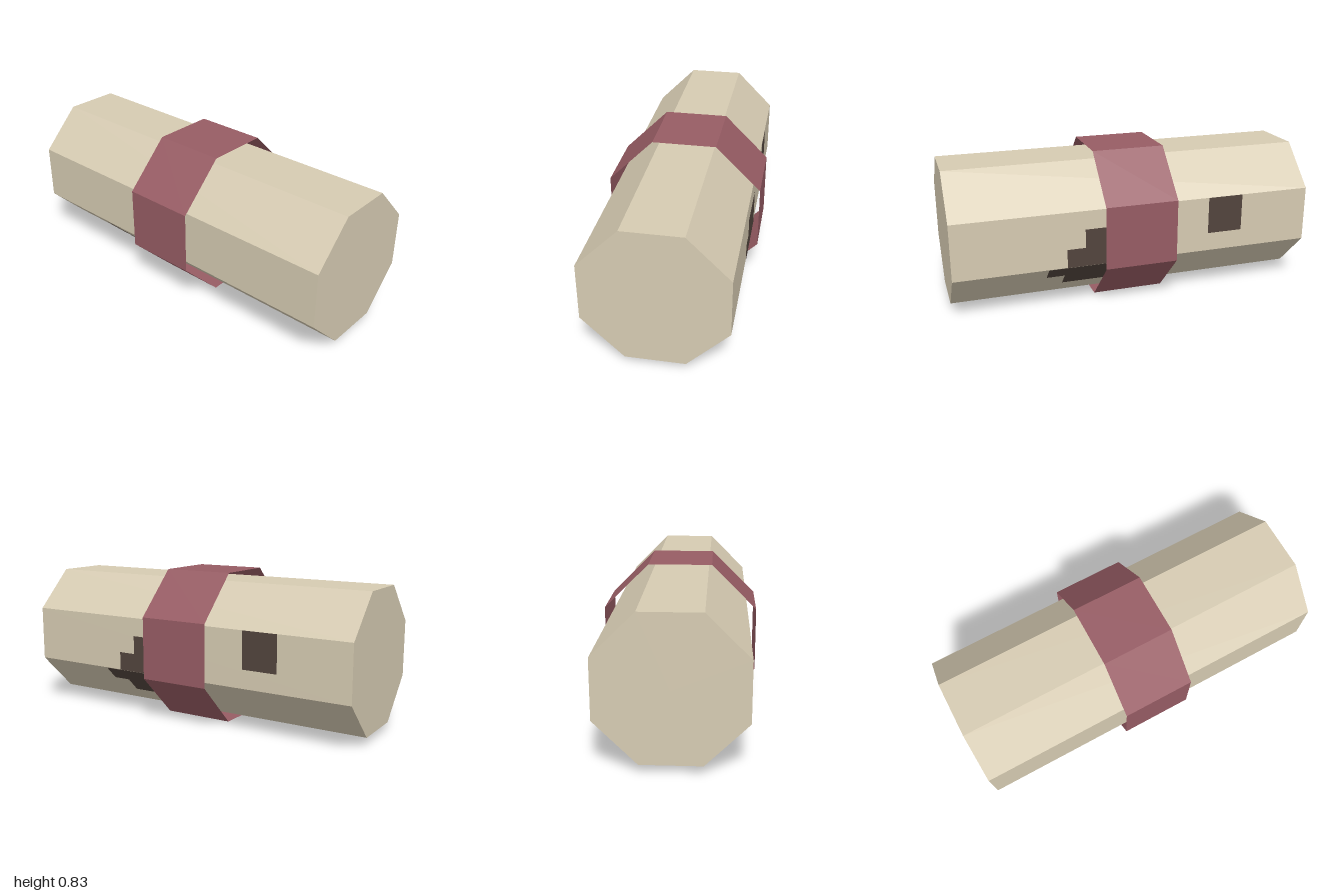
import * as THREE from 'three';

const CENTER_Y = 0.415;
const ROLL = 0.37;   // centre to flat side
const STRAP = 0.415;

// Flat-sided octagonal cylinder lying along x
function octagon(apothem, length, open) {
  const r = apothem / Math.cos(Math.PI / 8);
  const g = new THREE.CylinderGeometry(r, r, length, 8, 1, open, Math.PI / 8)
    .rotateZ(Math.PI / 2).toNonIndexed();
  g.computeVertexNormals();
  return g;
}

function addMesh(parent, name, geometry, material) {
  const mesh = new THREE.Mesh(geometry, material);
  mesh.name = name;
  parent.add(mesh);
}

export function createModel() {
  const cloth = new THREE.MeshStandardMaterial({ name: 'beige cloth', color: 0xd6cbb2 });
  const band = new THREE.MeshStandardMaterial({ name: 'dusty red strap', color: 0x975c64, side: THREE.DoubleSide });
  const stain = new THREE.MeshStandardMaterial({ name: 'dark brown stain', color: 0x52443d });

  const model = new THREE.Group();
  model.name = 'bedroll';
  const body = new THREE.Group();
  body.name = 'rolledBedding';
  body.position.y = CENTER_Y;
  model.add(body);

  // Roll and the loose, open strap around it
  addMesh(body, 'roll', octagon(ROLL, 2, false), cloth);
  addMesh(body, 'strap', octagon(STRAP, 0.4, true), band);

  // Blocky stains: each side has strips [x start, x end, first row, row count]
  const cell = 2 * ROLL * Math.tan(Math.PI / 8) / 3;
  const sides = [
    { name: 'lowerFrontStain', turn: Math.PI / 4, strips: [[-0.6, -0.4, 0, 1], [-0.6, -0.5, 1, 1]] },
    { name: 'backStain', turn: Math.PI, strips: [[-0.6, -0.4, 0, 2], [0, 0.3, 1, 1], [0, 0.4, 2, 1]] },
    { name: 'lowerBackStain', turn: Math.PI * 3 / 4, strips: [[0, 0.5, 0, 1], [0, 0.4, 1, 1]] },
  ];
  for (const { name, turn, strips } of sides) {
    const side = new THREE.Group();
    side.name = name;
    side.rotation.x = turn;
    for (const [x0, x1, row, rows] of strips) {
      const g = new THREE.PlaneGeometry(x1 - x0, rows * cell)
        .translate((x0 + x1) / 2, (row + rows / 2 - 1.5) * cell, ROLL + 0.002);
      addMesh(side, 'stainPatch', g, stain);
    }
    body.add(side);
  }
  return model;
}
